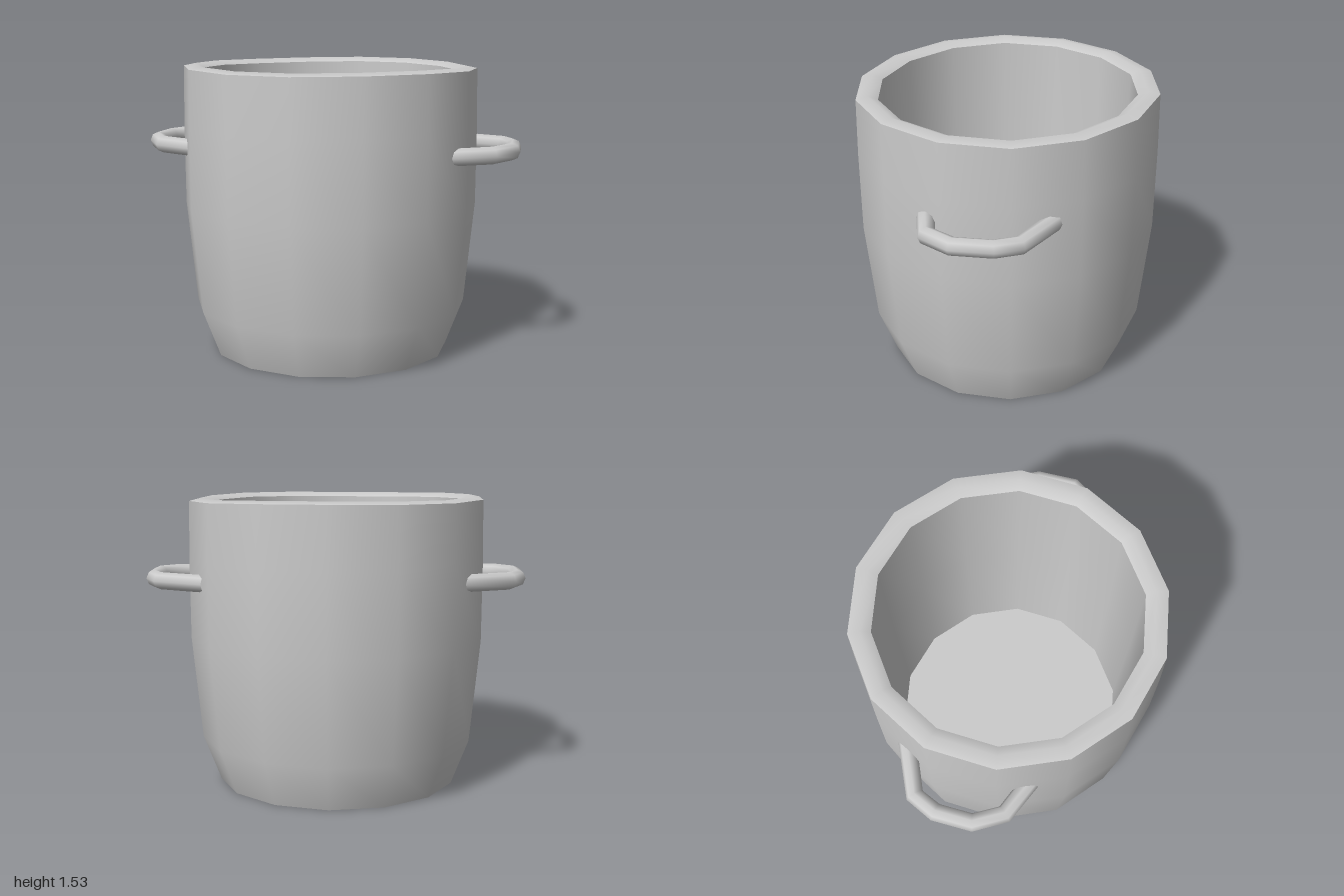
import * as THREE from 'three';

const SIDES = 14;
const TUBE_RADIUS = 0.045;

// Straight segments between points, with bisected directions at the bends
class Polyline extends THREE.Curve {
  constructor(points) {
    super();
    this.points = points;
  }
  getPoint(t, target = new THREE.Vector3()) {
    const n = this.points.length - 1;
    const i = Math.min(Math.floor(t * n + 1e-6), n - 1);
    return target.lerpVectors(this.points[i], this.points[i + 1], t * n - i);
  }
  getUtoTmapping(u) {
    return u;
  }
  getTangent(t, target = new THREE.Vector3()) {
    const p = this.points, n = p.length - 1, i = Math.round(t * n);
    target.set(0, 0, 0);
    if (i > 0) target.add(p[i].clone().sub(p[i - 1]).normalize());
    if (i < n) target.add(p[i + 1].clone().sub(p[i]).normalize());
    return target.normalize();
  }
}

export function createModel() {
  const group = new THREE.Group();
  group.name = 'pot';
  const material = new THREE.MeshStandardMaterial({ color: 0xcccccc, side: THREE.DoubleSide });

  // One turned surface per part, so edges between the parts stay sharp
  function addTurned(name, profile) {
    const points = profile.map(([r, y]) => new THREE.Vector2(r, y));
    const geometry = new THREE.LatheGeometry(points, SIDES, Math.PI / 2);
    const pos = geometry.attributes.position;
    // Slightly tilted, uneven rim
    for (let i = 0; i < pos.count; i++) {
      if (pos.getY(i) < 1.4) continue;
      const x = pos.getX(i), z = pos.getZ(i);
      pos.setY(i, pos.getY(i) - 0.007 * x - 0.008 * z + 0.004 * Math.sin(3 * Math.atan2(z, x)));
    }
    const mesh = new THREE.Mesh(geometry, material);
    mesh.name = name;
    mesh.position.x = -0.01;
    group.add(mesh);
  }

  addTurned('base', [[0, 0], [0.635, 0]]);
  addTurned('outerWall', [[0.635, 0], [0.727, 0.24], [0.78, 0.78], [0.782, 1.2], [0.777, 1.505]]);
  addTurned('rim', [[0.777, 1.505], [0.715, 1.518], [0.665, 1.495]]);
  addTurned('innerWall', [[0.665, 1.495], [0.655, 0.8], [0.63, 0.06]]);
  addTurned('floor', [[0.63, 0.06], [0, 0.06]]);

  // Bent tube handles, with ends buried in the wall
  function addHandle(name, path) {
    const curve = new Polyline(path.map((p) => new THREE.Vector3(...p)));
    const geometry = new THREE.TubeGeometry(curve, path.length - 1, TUBE_RADIUS, 8, false);
    const mesh = new THREE.Mesh(geometry, material);
    mesh.name = name;
    group.add(mesh);
  }

  addHandle('leftHandle', [
    [0.54, 1.09, -0.492], [0.815, 1.09, -0.435], [0.895, 1.09, -0.34],
    [0.95, 1.09, -0.155], [0.9, 1.085, 0], [0.71, 1.075, 0.105],
  ]);
  addHandle('rightHandle', [
    [-0.68, 1.1, -0.205], [-0.93, 1.1, 0], [-0.951, 1.1, 0.13],
    [-0.905, 1.1, 0.31], [-0.79, 1.095, 0.425], [-0.56, 1.09, 0.457],
  ]);

  return group;
}
